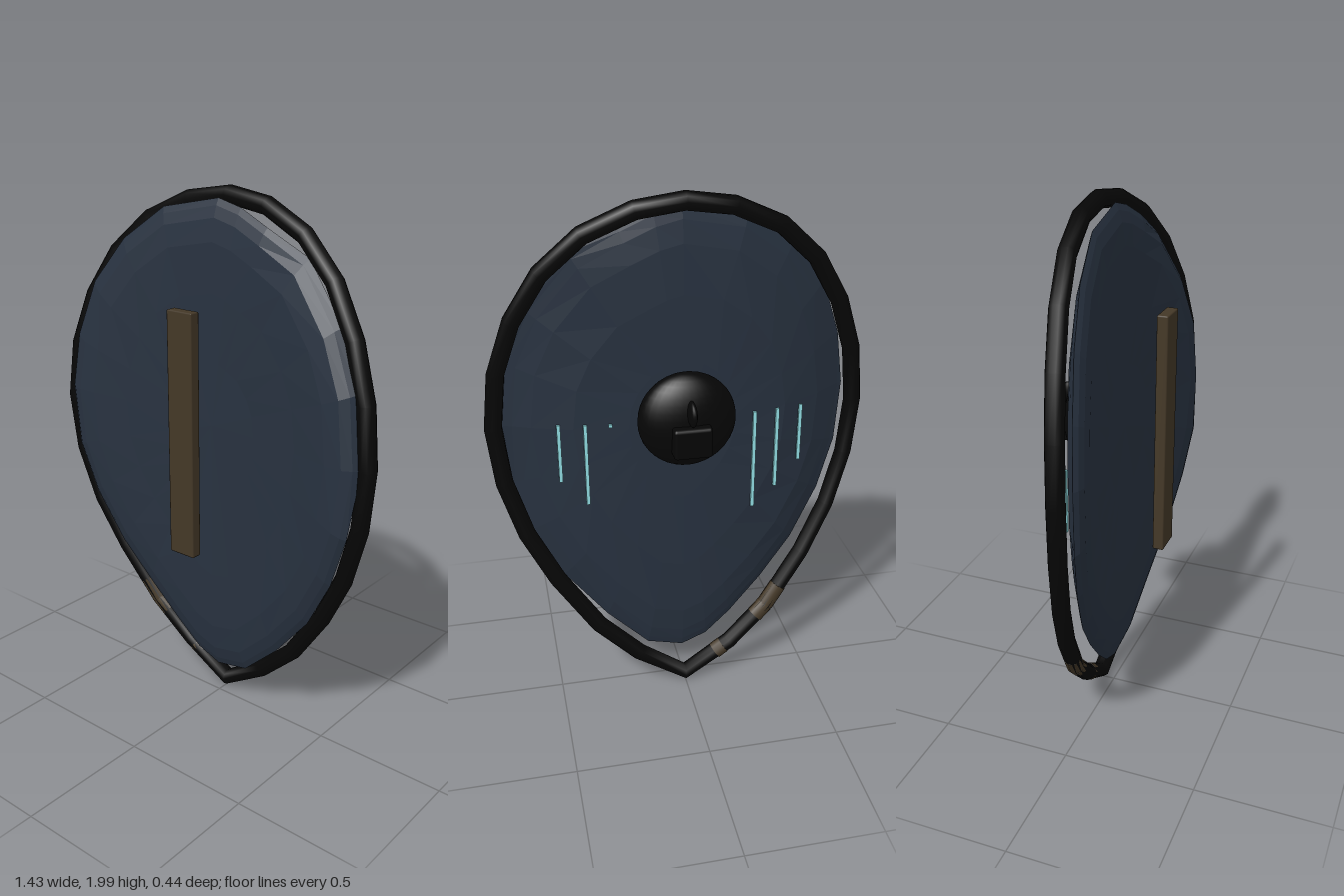
import * as THREE from 'three';
import { RoundedBoxGeometry } from 'three/addons/geometries/RoundedBoxGeometry.js';

const mat = (name, color) => Object.assign(new THREE.MeshStandardMaterial({ color }), { name });

// Half outline of the rim centre line, top to bottom tip
const RIM = [[0, 1.967], [0.17, 1.942], [0.345, 1.862], [0.488, 1.73], [0.593, 1.558], [0.66, 1.362], [0.684, 1.15],
  [0.66, 0.928], [0.593, 0.712], [0.49, 0.515], [0.34, 0.3], [0.185, 0.155], [0, 0.036]];

// Irregular outline of the board, clockwise from the front
const BOARD = [[0, 1.96], [0.1, 1.935], [0.22, 1.88], [0.39, 1.795], [0.55, 1.6], [0.64, 1.4], [0.67, 1.15], [0.64, 0.9],
  [0.57, 0.7], [0.46, 0.5], [0.3, 0.31], [0.14, 0.16], [0, 0.13], [-0.1, 0.17], [-0.2, 0.26], [-0.33, 0.4],
  [-0.46, 0.56], [-0.57, 0.76], [-0.635, 0.96], [-0.652, 1.2], [-0.62, 1.41], [-0.545, 1.62], [-0.415, 1.79], [-0.24, 1.915]];

const rimZ = (x) => -0.055 + 0.27 * x * x;
const backZ = (x) => -0.03 + 0.4 * Math.abs(x) ** 3;
const frontZ = (x) => 0.045 + 0.28 * x * x;
// The edge is rolled back towards the rim on the upper left
const edgeZ = (x, y) => 0.005 + 0.26 * x * x - (x > 0.3 && y > 1.1 ? 0.035 : 0);
const rimPoint = ([x, y]) => new THREE.Vector3(x, y, rimZ(x));

// Curved shell: concentric rings on the front and back that meet at the edge
function boardGeometry() {
  const rings = [0, 0.3, 0.6, 0.82, 0.92, 0.97, 1];
  const n = BOARD.length, cy = 1.15, pos = [], idx = [];
  for (const front of [true, false]) {
    const base = pos.length / 3;
    for (const t of rings) {
      for (const [ox, oy] of BOARD) {
        const x = ox * t, y = cy + (oy - cy) * t;
        const z = front
          ? THREE.MathUtils.lerp(frontZ(x), edgeZ(ox, oy), t ** 12)
          : THREE.MathUtils.lerp(backZ(x), edgeZ(ox, oy), t ** 8);
        pos.push(x, y, z);
      }
    }
    for (let r = 0; r < rings.length - 1; r++) {
      for (let i = 0; i < n; i++) {
        const a = base + r * n + i, b = base + r * n + (i + 1) % n, c = a + n, d = b + n;
        const tris = r === 0 ? [[a, d, c]] : [[a, d, c], [a, b, d]];
        for (const [p, q, s] of tris) idx.push(...(front ? [p, q, s] : [p, s, q]));
      }
    }
  }
  const g = new THREE.BufferGeometry();
  g.setAttribute('position', new THREE.Float32BufferAttribute(pos, 3));
  g.setIndex(idx);
  const flat = g.toNonIndexed();
  flat.computeVertexNormals();
  return flat;
}

export function createModel() {
  const slate = mat('slate blue', 0x283240);
  const black = mat('black', 0x060606);
  const brown = mat('leather brown', 0x443827);
  const cyan = mat('pale cyan', 0x9ff2f8);

  const model = new THREE.Group();
  model.name = 'shield';
  const add = (name, geometry, material, x = 0, y = 0, z = 0, parent = model) => {
    const mesh = new THREE.Mesh(geometry, material);
    mesh.name = name;
    mesh.position.set(x, y, z);
    parent.add(mesh);
    return mesh;
  };

  add('board', boardGeometry(), slate);

  // Rim with straight runs between the outline points
  const left = RIM.slice(1, -1).reverse().map(([x, y]) => [-x, y]);
  const loop = [...RIM, ...left].map(rimPoint);
  const path = new THREE.CatmullRomCurve3(loop, true, 'catmullrom', 0.5);
  path.getPointAt = path.getPoint;
  path.getTangentAt = path.getTangent;
  add('rim', new THREE.TubeGeometry(path, loop.length, 0.033, 10, true), black);

  // Leather wraps on the lower rim
  const wraps = new THREE.Group();
  wraps.name = 'rimWraps';
  model.add(wraps);
  const wrap = (from, to) => {
    const a = rimPoint(from), b = rimPoint(to);
    const m = add('rimWrap', new THREE.CylinderGeometry(0.034, 0.034, a.distanceTo(b), 10), brown, 0, 0, 0, wraps);
    m.position.copy(a).lerp(b, 0.5);
    m.quaternion.setFromUnitVectors(new THREE.Vector3(0, 1, 0), b.sub(a).normalize());
  };
  wrap([-0.395, 0.379], [-0.34, 0.3]);
  wrap([-0.34, 0.3], [-0.295, 0.258]);
  wrap([-0.16, 0.139], [-0.125, 0.116]);

  // Hand grip floating inside the hollow side
  add('grip', new RoundedBoxGeometry(0.112, 0.91, 0.042, 1, 0.005), brown, 0, 1.148, 0.198);

  // Domed boss with a block and a narrow knob
  const boss = new THREE.Group();
  boss.name = 'boss';
  model.add(boss);
  add('dome', new THREE.SphereGeometry(0.18, 32, 20), black, 0, 1.192, -0.08, boss).scale.z = 0.5;
  add('block', new RoundedBoxGeometry(0.14, 0.115, 0.07, 2, 0.012), black, 0, 1.145, -0.168, boss);
  add('knob', new THREE.SphereGeometry(0.047, 20, 14), black, 0, 1.25, -0.171, boss).scale.x = 0.35;

  // Glowing strips, shorter towards the edge; one is almost sunk into the board
  const strips = new THREE.Group();
  strips.name = 'glowStrips';
  model.add(strips);
  for (const [x, length] of [[-0.27, 0.4], [-0.36, 0.325], [-0.455, 0.23], [0.27, 0.012], [0.36, 0.325], [0.455, 0.23]]) {
    add('glowStrip', new THREE.BoxGeometry(0.013, length, 0.009), cyan, x, 1.17 - length / 2, backZ(x) - 0.003, strips);
  }
  return model;
}
